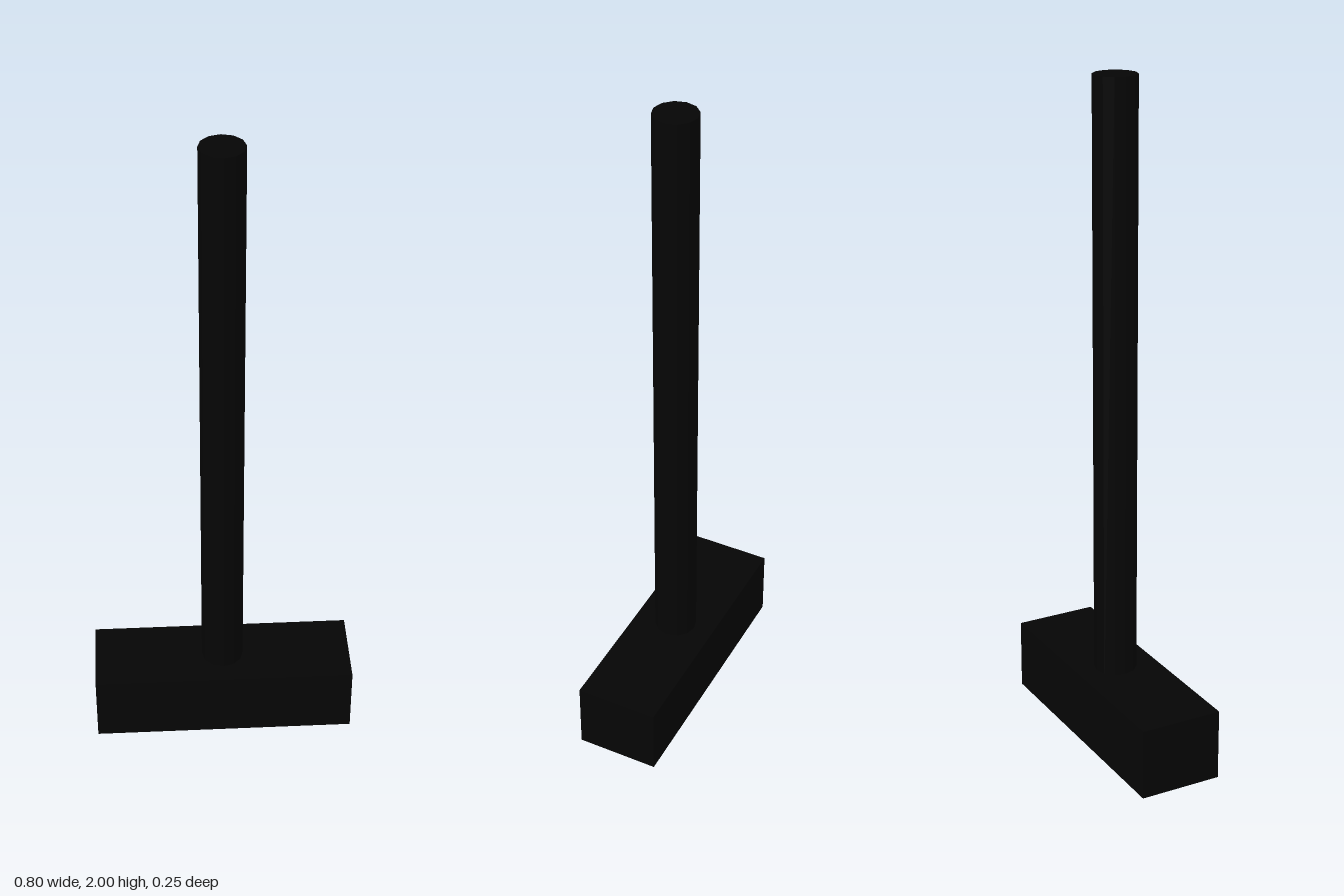
import * as THREE from 'three';

export function createModel() {
  const model = new THREE.Group();
  const material = new THREE.MeshStandardMaterial({ color: 0x050505 });
  material.flatShading = true;

  const headHeight = 0.215;
  const totalHeight = 2;

  const addPart = (name, geometry, y) => {
    const mesh = new THREE.Mesh(geometry, material);
    mesh.name = name;
    mesh.position.y = y;
    model.add(mesh);
  };

  // Block-shaped hammer head resting on the ground
  addPart('hammerHead', new THREE.BoxGeometry(0.795, headHeight, 0.25), headHeight / 2);

  // Faceted handle, seated in the middle of the head
  const handleBase = headHeight / 2;
  const handleLength = totalHeight - handleBase;
  addPart('handle', new THREE.CylinderGeometry(0.064, 0.064, handleLength, 12), handleBase + handleLength / 2);

  return model;
}
